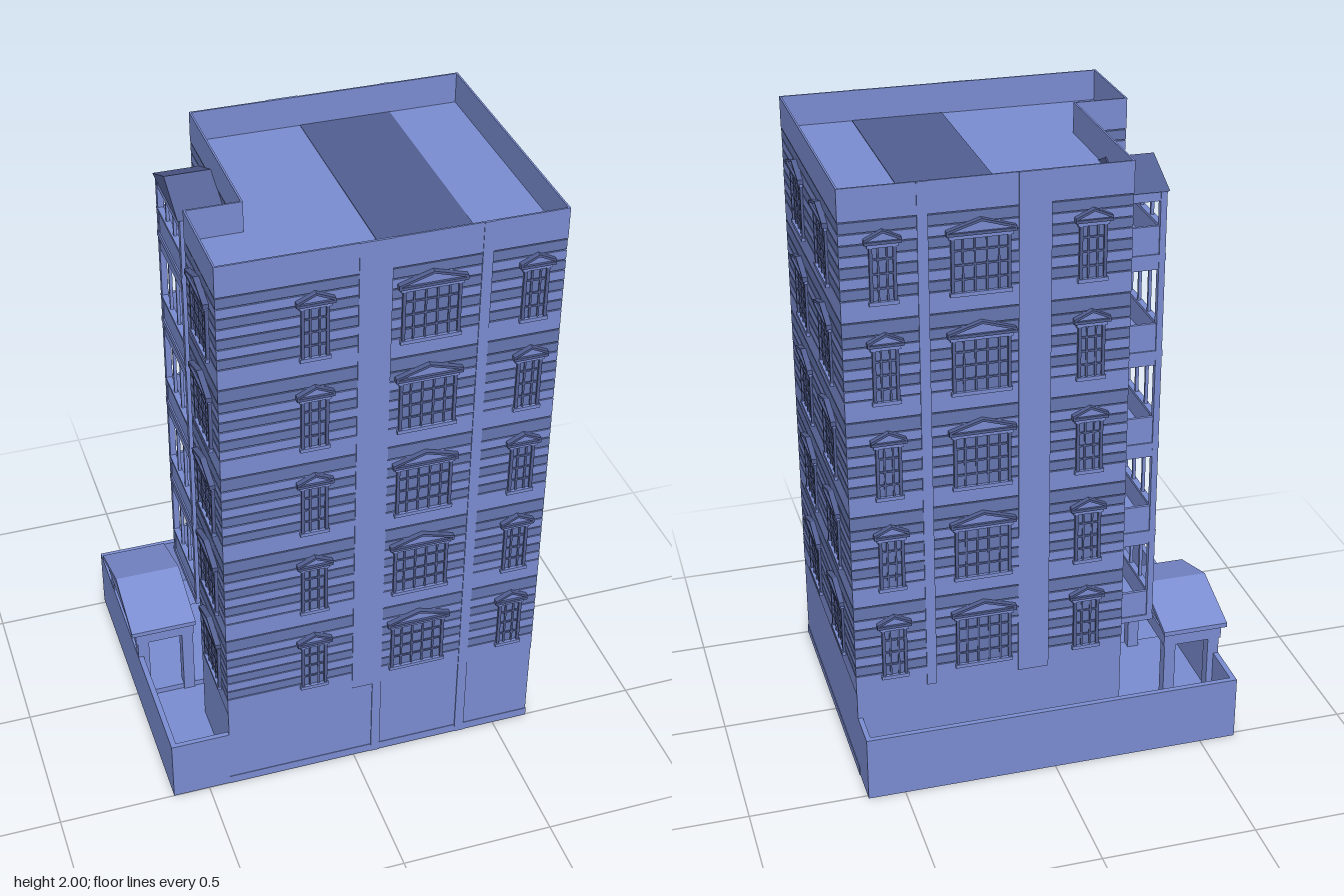
import * as THREE from 'three';

const paint = (color) => new THREE.MeshStandardMaterial({ color, flatShading: true });
const blue = paint(0x7b8dd2), mid = paint(0x6677b2), deep = paint(0x525f92);

// Parts in a deeper tone than the walls
const TONES = {
  core: mid, pane: mid, darkCourse: mid, upperBand: mid, roofPanel: deep,
  balconyRoof: deep, jamb: deep, mullion: deep, glazingBar: deep, pedimentRake: deep, cornice: deep,
};
const PITCH = 0.32, FLOORS = 5, BASE = 0.31;

function add(parent, name, geo) {
  const m = new THREE.Mesh(geo, TONES[name] ?? blue);
  m.name = name;
  parent.add(m);
  return m;
}

// Box given by its minimum and maximum corners
function box(parent, name, x0, x1, y0, y1, z0, z1) {
  const m = add(parent, name, new THREE.BoxGeometry(x1 - x0, y1 - y0, z1 - z0));
  m.position.set((x0 + x1) / 2, (y0 + y1) / 2, (z0 + z1) / 2);
  return m;
}

// L-shaped floor plan, inset by d
function plan(d = 0) {
  const a = -0.43 + d, b = -0.26 + d, r = 0.622 - d, f = 0.502 - d, k = -0.388 + d, n = 0.18 + d;
  return [[a, f], [r, f], [r, k], [b, k], [b, n], [a, n]].map(([x, z]) => new THREE.Vector2(x, -z));
}

// Horizontal slab of the plan, optionally hollow
function slab(parent, name, y0, y1, inset, wall) {
  const shape = new THREE.Shape(plan(inset));
  if (wall) shape.holes.push(new THREE.Path(plan(inset + wall)));
  const geo = new THREE.ExtrudeGeometry(shape, { depth: y1 - y0, bevelEnabled: false });
  geo.rotateX(-Math.PI / 2);
  add(parent, name, geo).position.y = y0;
}

// Triangular prism: width along x, depth along +z
function prism(w, h, depth) {
  const s = new THREE.Shape([new THREE.Vector2(-w / 2, 0), new THREE.Vector2(w / 2, 0), new THREE.Vector2(0, h)]);
  return new THREE.ExtrudeGeometry(s, { depth, bevelEnabled: false });
}

// Gabled chevron roof, facing +z
function gable(w, h, t, depth) {
  const p = [[-w / 2, 0], [0, h], [w / 2, 0], [w / 2, t], [0, h + t], [-w / 2, t]];
  const s = new THREE.Shape(p.map(([x, y]) => new THREE.Vector2(x, y)));
  return new THREE.ExtrudeGeometry(s, { depth, bevelEnabled: false });
}

// Window with mullions, sill and pediment; faces +z, bottom at y = 0
function windowUnit(w, cols) {
  const g = new THREE.Group(), h = 0.18, t = 0.01;
  g.name = 'window';
  box(g, 'pane', -w / 2, w / 2, 0, h, -0.02, 0.002);
  for (const s of [-1, 1]) {
    const x = s * (w / 2 - t / 2);
    box(g, 'jamb', x - t / 2, x + t / 2, 0, h, 0, 0.009);
  }
  for (let i = 1; i < cols; i++) {
    const x = -w / 2 + (w * i) / cols;
    box(g, 'mullion', x - 0.003, x + 0.003, 0, h, 0, 0.006);
  }
  for (const y of [0.045, 0.09, 0.135]) box(g, 'glazingBar', -w / 2, w / 2, y - 0.003, y + 0.003, 0, 0.006);
  box(g, 'sill', -w / 2 - 0.004, w / 2 + 0.004, -0.006, 0.006, 0, 0.012);
  box(g, 'lintel', -w / 2 - 0.006, w / 2 + 0.006, h - 0.008, h + 0.004, 0, 0.011);
  // Pediment: recessed panel with a raised cornice
  const pw = w + 0.03, ph = w > 0.12 ? 0.032 : 0.026;
  box(g, 'cornice', -pw / 2, pw / 2, h + 0.004, h + 0.013, 0, 0.018);
  add(g, 'pedimentPanel', prism(pw - 0.01, ph, 0.01)).position.y = h + 0.012;
  add(g, 'pedimentRake', gable(pw, ph, 0.008, 0.018)).position.y = h + 0.012;
  return g;
}

export function createModel() {
  const root = new THREE.Group();
  root.name = 'apartmentTower';

  // Ground storey, core, parapet and the darker roof panel
  slab(root, 'plinth', 0, 0.03, 0);
  slab(root, 'groundStorey', 0.03, BASE, 0.002);
  slab(root, 'core', BASE, 1.895, 0.006);
  slab(root, 'roof', 1.895, 1.9, 0.006);
  slab(root, 'parapet', 1.9, 2, 0, 0.006);
  box(root, 'roofPanel', 0.095, 0.392, 1.895, 1.902, -0.38, 0.494);

  // Coursed masonry: plain floor band, then narrow courses
  for (let f = 0; f < FLOORS; f++) {
    const y = BASE + f * PITCH, top = Math.min(y + PITCH, 1.9);
    slab(root, 'floorBand', y, y + 0.066, 0.001, 0.02);
    for (let i = 0; i < 6; i++) {
      const name = (i + f) % 2 ? 'course' : 'darkCourse';
      slab(root, name, y + 0.07 + i * 0.034, y + 0.1 + i * 0.034, 0.001, 0.02);
    }
    slab(root, 'upperBand', y + 0.274, top - 0.004, 0.001, 0.02);
  }

  // Vertical strips between the bays, front and back
  for (const [x0, x1] of [[-0.01, 0.09], [0.36, 0.392]]) {
    box(root, 'frontStrip', x0, x1, BASE, 2, 0.497, 0.504);
    box(root, 'backStrip', x0, x1, BASE, 2, -0.391, -0.383);
    box(root, 'baseStrip', Math.max(x0, 0.06), x1, 0, BASE, 0.48, 0.504);
  }

  // Windows on every floor: x, z, turn, width, columns
  const P = Math.PI;
  const places = [
    [-0.14, 0.5, 0, 0.085, 3], [0.21, 0.5, 0, 0.18, 5], [0.53, 0.5, 0, 0.08, 3],
    [-0.135, -0.388, P, 0.085, 3], [0.205, -0.388, P, 0.18, 5], [0.495, -0.388, P, 0.08, 3],
    [0.62, 0.245, P / 2, 0.175, 4], [0.62, -0.135, P / 2, 0.175, 4],
    [-0.43, 0.34, -P / 2, 0.17, 4], [-0.26, 0.085, -P / 2, 0.08, 3],
  ];
  for (let f = 0; f < FLOORS; f++) {
    for (const [x, z, turn, w, cols] of places) {
      const win = windowUnit(w, cols);
      win.position.set(x, 0.365 + f * PITCH, z);
      win.rotation.y = turn;
      root.add(win);
    }
  }

  // Balcony stack in the recessed corner
  const balconies = new THREE.Group();
  balconies.name = 'balconies';
  root.add(balconies);
  for (let f = 0; f < FLOORS; f++) {
    const y = 0.36 + f * PITCH, top = f < FLOORS - 1 ? y + PITCH : 1.86;
    box(balconies, 'balconySlab', -0.4, -0.25, y, y + 0.02, -0.295, 0.005);
    box(balconies, 'balconyFront', -0.395, -0.385, y + 0.02, y + 0.1, -0.285, -0.005);
    box(balconies, 'handRail', -0.4, -0.38, y + 0.1, y + 0.11, -0.29, 0);
    for (const z of [-0.285, -0.005]) {
      box(balconies, 'balconySide', -0.395, -0.25, y + 0.02, y + 0.11, z - 0.005, z + 0.005);
      box(balconies, 'balconyPost', -0.398, -0.378, y + 0.02, top, z - 0.01, z + 0.01);
      box(balconies, 'balconyBeam', -0.398, -0.25, top - 0.03, top, z - 0.008, z + 0.008);
    }
    for (const z of [-0.19, -0.1]) box(balconies, 'balconyMullion', -0.394, -0.384, y + 0.1, top, z - 0.005, z + 0.005);
    box(balconies, 'balconyLintel', -0.396, -0.382, top - 0.04, top, -0.285, -0.005);
    box(balconies, 'balconyDoor', -0.268, -0.25, y + 0.02, y + 0.22, -0.235, -0.055);
  }
  const top = add(balconies, 'balconyRoof', prism(0.305, 0.07, 0.155));
  top.rotation.y = -P / 2;
  top.position.set(-0.25, 1.86, -0.145);

  // Walled yard around the back and left
  const yard = new THREE.Group();
  yard.name = 'yard';
  root.add(yard);
  box(yard, 'yardFloor', -0.61, 0.61, 0.02, 0.03, -0.505, 0.49);
  box(yard, 'backWall', -0.62, 0.62, 0, 0.22, -0.515, -0.497);
  box(yard, 'leftWall', -0.62, -0.602, 0, 0.22, -0.515, 0.5);
  box(yard, 'frontWall', -0.62, -0.42, 0, 0.22, 0.484, 0.5);
  box(yard, 'rightWall', 0.604, 0.62, 0, 0.22, -0.515, -0.38);

  // Entrance porch: four posts, beams and gabled roof
  const porch = new THREE.Group();
  porch.name = 'porch';
  root.add(porch);
  box(porch, 'porchFloor', -0.605, -0.25, 0.03, 0.05, -0.34, 0.05);
  for (const z of [-0.325, 0.035]) {
    for (const x of [-0.6, -0.447]) box(porch, 'porchPost', x - 0.019, x + 0.019, 0.03, 0.28, z - 0.02, z + 0.02);
    box(porch, 'porchBeam', -0.625, -0.425, 0.28, 0.33, z - 0.022, z + 0.022);
  }
  for (const x of [-0.615, -0.435]) box(porch, 'crossBeam', x - 0.01, x + 0.01, 0.28, 0.33, -0.34, 0.05);
  const panel = add(porch, 'porchGable', prism(0.39, 0.062, 0.19));
  const roof = add(porch, 'porchRoof', gable(0.43, 0.068, 0.016, 0.22));
  for (const m of [panel, roof]) m.rotation.y = -P / 2;
  panel.position.set(-0.43, 0.329, -0.145);
  roof.position.set(-0.42, 0.326, -0.145);

  return root;
}
